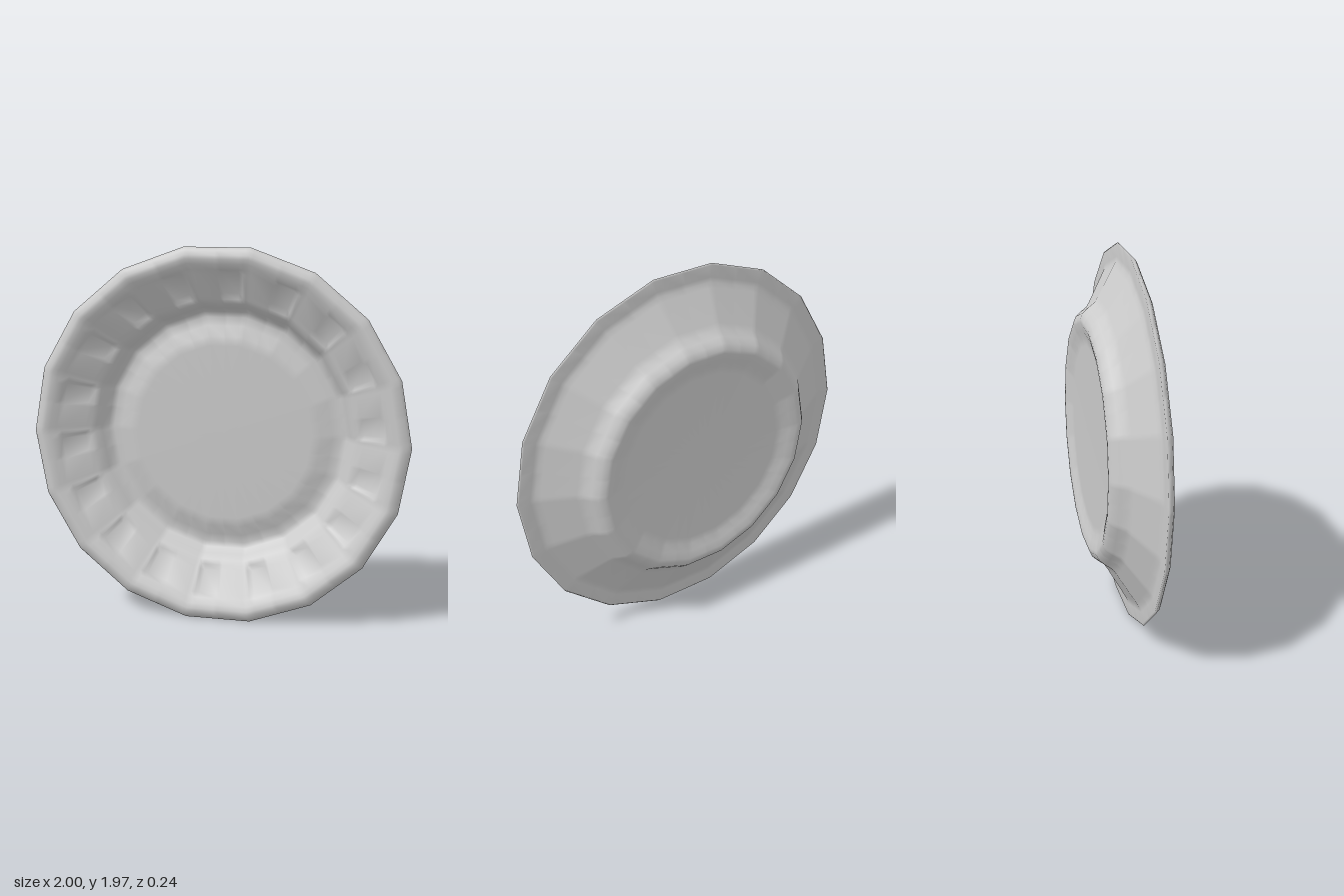
import * as THREE from 'three';

const SIDES = 18;
const CENTER_Y = 0.985;
const POCKET_DEPTH = 0.017;

// Closed section [radius, z, pocket]: front centre -> rim -> back centre.
const PROFILE = [
  // raised floor and the moat around it
  [0, -0.06], [0.47, -0.06], [0.52, -0.066], [0.575, -0.088], [0.62, -0.096], [0.65, -0.088],
  // step and sloping inner wall with the pockets
  [0.675, -0.05], [0.70, -0.018], [0.725, -0.003], [0.75, 0.012, 1], [0.86, 0.075, 1], [0.885, 0.09], [0.915, 0.108],
  // rim lip
  [0.94, 0.118], [0.96, 0.118], [0.985, 0.106], [1.0, 0.09], [0.992, 0.082], [0.93, 0.082], [0.905, 0.077],
  // outer wall
  [0.88, 0.063], [0.73, -0.022], [0.70, -0.041], [0.675, -0.075], [0.65, -0.104],
  // foot ring and recessed base
  [0.62, -0.118], [0.60, -0.118], [0.56, -0.108], [0.52, -0.094], [0.48, -0.09], [0, -0.09],
];

// Columns across one facet [fraction, pocket].
const COLUMNS = [[0], [0.07], [0.15, 1], [0.45, 1], [0.52], [0.93]];

function plateGeometry() {
  const positions = [], index = [];
  const cols = SIDES * COLUMNS.length;

  for (const [radius, z, rowPocket] of PROFILE) {
    for (let s = 0; s < SIDES; s++) {
      const a = (s / SIDES) * Math.PI * 2;
      const b = ((s + 1) / SIDES) * Math.PI * 2;
      for (const [t, colPocket] of COLUMNS) {
        // pockets sink along the wall normal
        const d = rowPocket && colPocket ? POCKET_DEPTH : 0;
        const r = radius + 0.5 * d;
        positions.push(
          r * THREE.MathUtils.lerp(Math.cos(a), Math.cos(b), t),
          r * THREE.MathUtils.lerp(Math.sin(a), Math.sin(b), t),
          z - 0.87 * d
        );
      }
    }
  }

  for (let i = 0; i < PROFILE.length - 1; i++) {
    for (let j = 0; j < cols; j++) {
      const k = (j + 1) % cols;
      const p = i * cols + j, q = i * cols + k;
      const u = p + cols, v = q + cols;
      if (PROFILE[i + 1][0] > 0) index.push(p, u, v);
      if (PROFILE[i][0] > 0) index.push(p, v, q);
    }
  }

  const geometry = new THREE.BufferGeometry();
  geometry.setAttribute('position', new THREE.Float32BufferAttribute(positions, 3));
  geometry.setIndex(index);
  geometry.computeVertexNormals();
  return geometry;
}

export function createModel() {
  const group = new THREE.Group();
  group.name = 'dish';
  const plate = new THREE.Mesh(plateGeometry(), new THREE.MeshStandardMaterial({ color: 0xcccccc }));
  plate.name = 'plate';
  plate.position.y = CENTER_Y;
  group.add(plate);
  return group;
}
